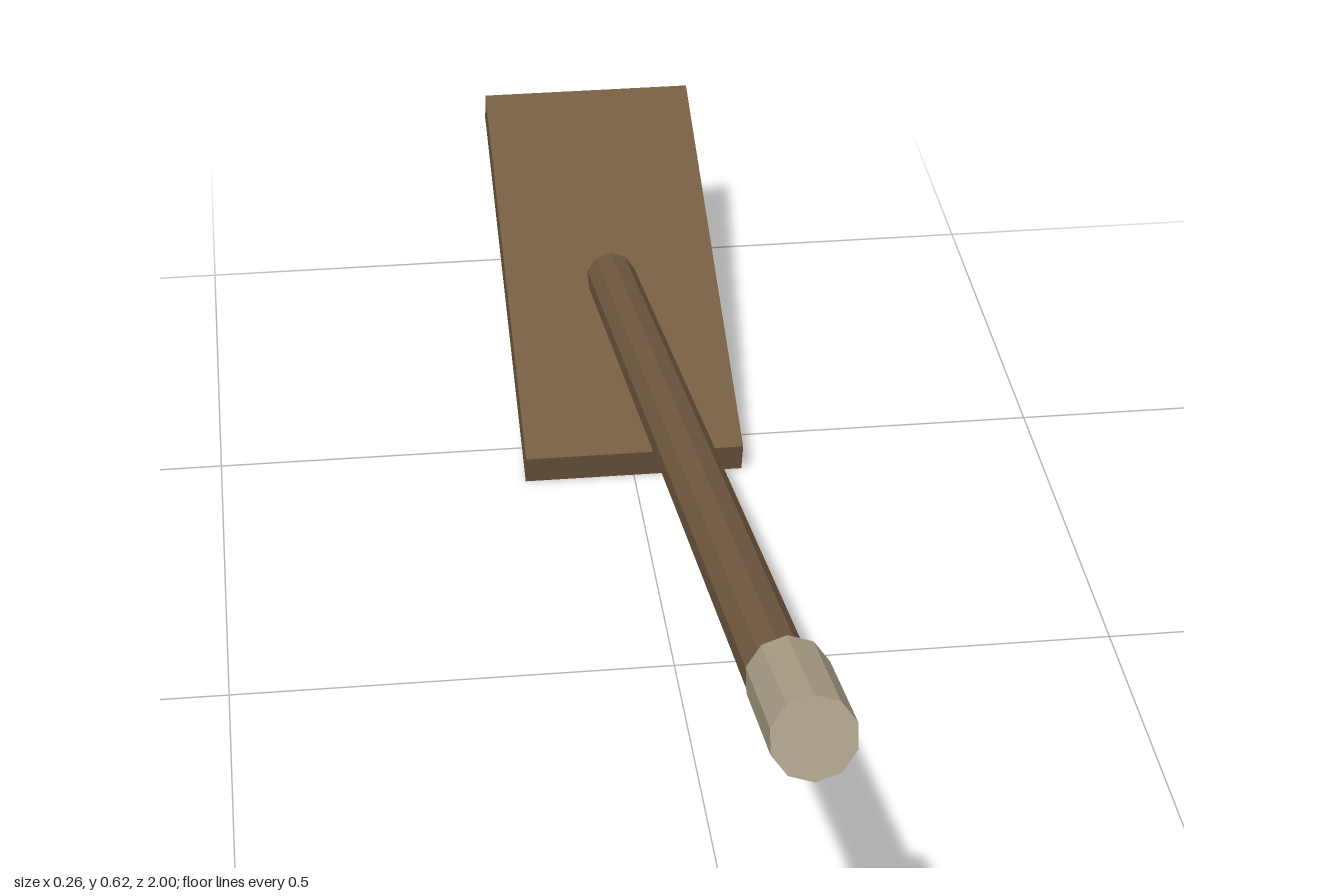
import * as THREE from 'three';

export function createModel() {
  const group = new THREE.Group();
  const wood = new THREE.MeshStandardMaterial({ color: 0x755d43, flatShading: true });
  wood.name = 'brown wood';
  const pale = new THREE.MeshStandardMaterial({ color: 0xaea28a, flatShading: true });
  pale.name = 'pale grip';

  // ten-sided rod between two points in the x = 0 plane
  const rod = (name, radius, [y0, z0], [y1, z1], material) => {
    const length = Math.hypot(y1 - y0, z1 - z0);
    const mesh = new THREE.Mesh(new THREE.CylinderGeometry(radius, radius, length, 10), material);
    mesh.name = name;
    mesh.position.set(0, (y0 + y1) / 2, (z0 + z1) / 2);
    mesh.rotation.x = Math.atan2(z1 - z0, y1 - y0);
    group.add(mesh);
  };

  // tilted flat blade, rising towards the back
  const blade = new THREE.Mesh(new THREE.BoxGeometry(0.265, 0.042, 0.618), wood);
  blade.name = 'blade';
  blade.position.set(0, 0.129, -0.703);
  blade.rotation.x = THREE.MathUtils.degToRad(20);
  group.add(blade);

  // long shaft and the grip sitting slightly above its end
  rod('shaft', 0.031, [0.141, -0.677], [0.557, 0.945], wood);
  rod('grip', 0.039, [0.551, 0.839], [0.589, 0.987], pale);

  return group;
}
